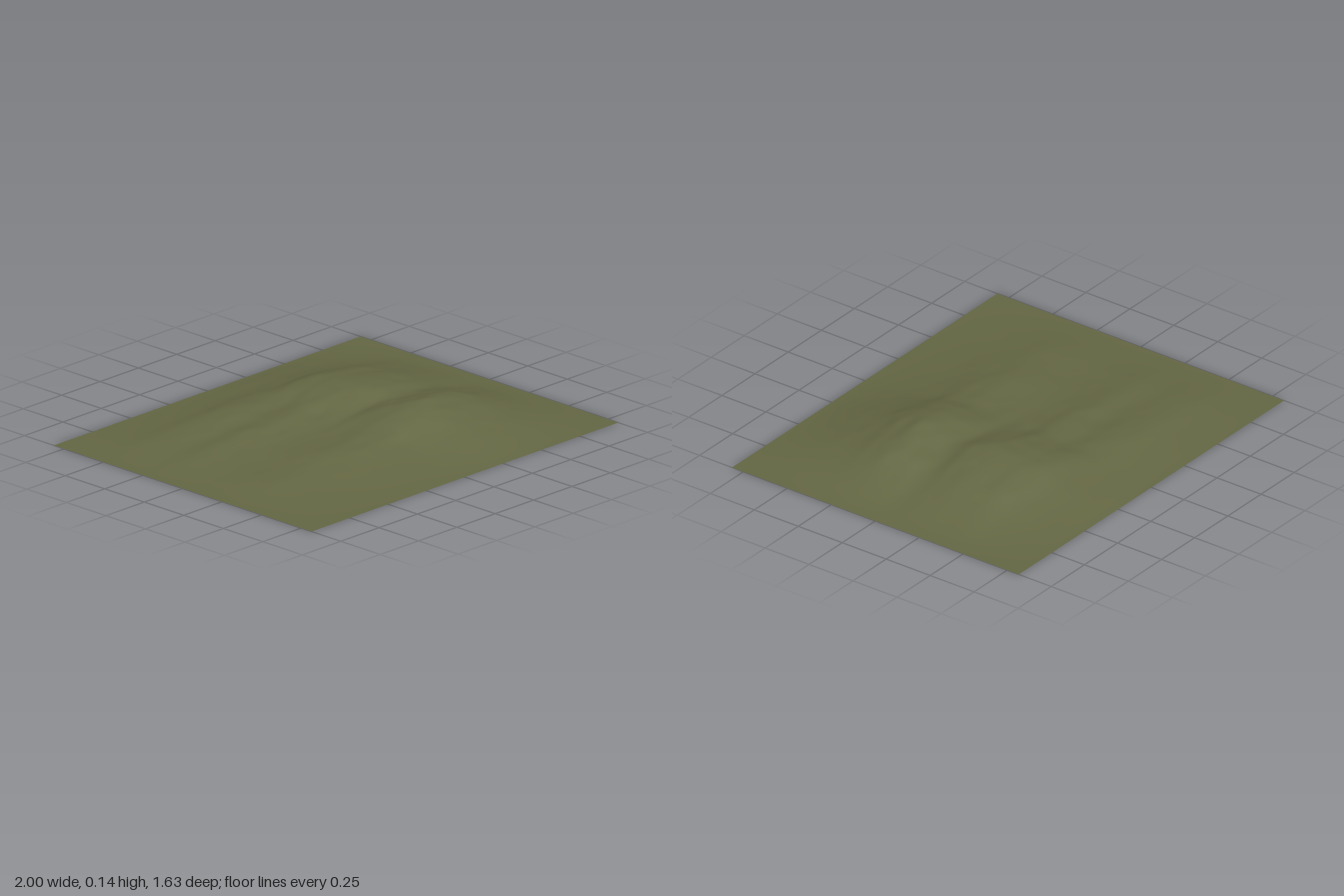
import * as THREE from 'three';

const WIDTH = 2, DEPTH = 1.63;

// Crest height along x, from the left edge of the sheet to the right one
const CREST = [0, 0.005, 0.015, 0.026, 0.033, 0.041, 0.05, 0.058, 0.064, 0.071, 0.083,
  0.108, 0.129, 0.141, 0.133, 0.118, 0.097, 0.066, 0.037, 0.012, 0];
// Relative section from back to front, through the high hills and the low spurs
const HILLS = [0, 0.12, 0.26, 0.46, 0.74, 0.82, 0.88, 0.81, 0.69, 0.89, 1, 0.86, 0.62, 0.42, 0.25, 0.1, 0];
const SPURS = [0, 0.15, 0.4, 0.78, 0.86, 0.78, 0.97, 0.78, 0.68, 0.76, 0.9, 0.95, 0.75, 0.5, 0.28, 0.1, 0];

// Smooth curve through evenly spaced values, t from 0 to 1
function sample(values, t) {
  const n = values.length - 1;
  const s = THREE.MathUtils.clamp(t, 0, 1) * n;
  const i = Math.min(Math.floor(s), n - 1), f = s - i;
  const at = (k) => values[THREE.MathUtils.clamp(k, 0, n)];
  const a = at(i - 1), b = at(i), c = at(i + 1), d = at(i + 2);
  return Math.max(0, b + 0.5 * f * (c - a + f * (2 * a - 5 * b + 4 * c - d + f * (3 * (b - c) + d - a))));
}

// Repeatable value noise, -1 to 1
function hash(i, j) {
  const s = Math.sin(i * 127.1 + j * 311.7) * 43758.5453;
  return (s - Math.floor(s)) * 2 - 1;
}
function noise(x, z) {
  const i = Math.floor(x), j = Math.floor(z);
  const u = THREE.MathUtils.smoothstep(x - i, 0, 1), v = THREE.MathUtils.smoothstep(z - j, 0, 1);
  const { lerp } = THREE.MathUtils;
  return lerp(lerp(hash(i, j), hash(i + 1, j), u), lerp(hash(i, j + 1), hash(i + 1, j + 1), u), v);
}

function heightAt(x, z) {
  // Bend the ridges a little, less near the borders
  const calm = (1 - x * x) * (1 - (2 * z / DEPTH) ** 2);
  const bentZ = z + calm * 0.05 * noise(x * 3 + 5, z * 2 + 9);
  const t = bentZ / DEPTH + 0.5;
  const blend = THREE.MathUtils.smoothstep(x, -0.25, 0.2);
  const section = THREE.MathUtils.lerp(sample(SPURS, t), sample(HILLS, t), blend);
  // Gullies and bumps, drawn out along x
  const rough = 0.07 * noise(x * 5, z * 9 + 3) + 0.045 * noise(x * 11 + 7, z * 17);
  return sample(CREST, x / WIDTH + 0.5) * section * (1 + calm * (rough - 0.02));
}

export function createModel() {
  const group = new THREE.Group();
  group.name = 'hillyTerrain';

  // One open sheet of ground, raised by the height rule
  const geometry = new THREE.PlaneGeometry(WIDTH, DEPTH, 140, 114).rotateX(-Math.PI / 2);
  const pos = geometry.attributes.position;
  for (let i = 0; i < pos.count; i++) pos.setY(i, heightAt(pos.getX(i), pos.getZ(i)));
  geometry.computeVertexNormals();

  const material = new THREE.MeshStandardMaterial({ color: 0x646743, side: THREE.DoubleSide });
  const ground = new THREE.Mesh(geometry, material);
  ground.name = 'ground';
  group.add(ground);
  return group;
}
